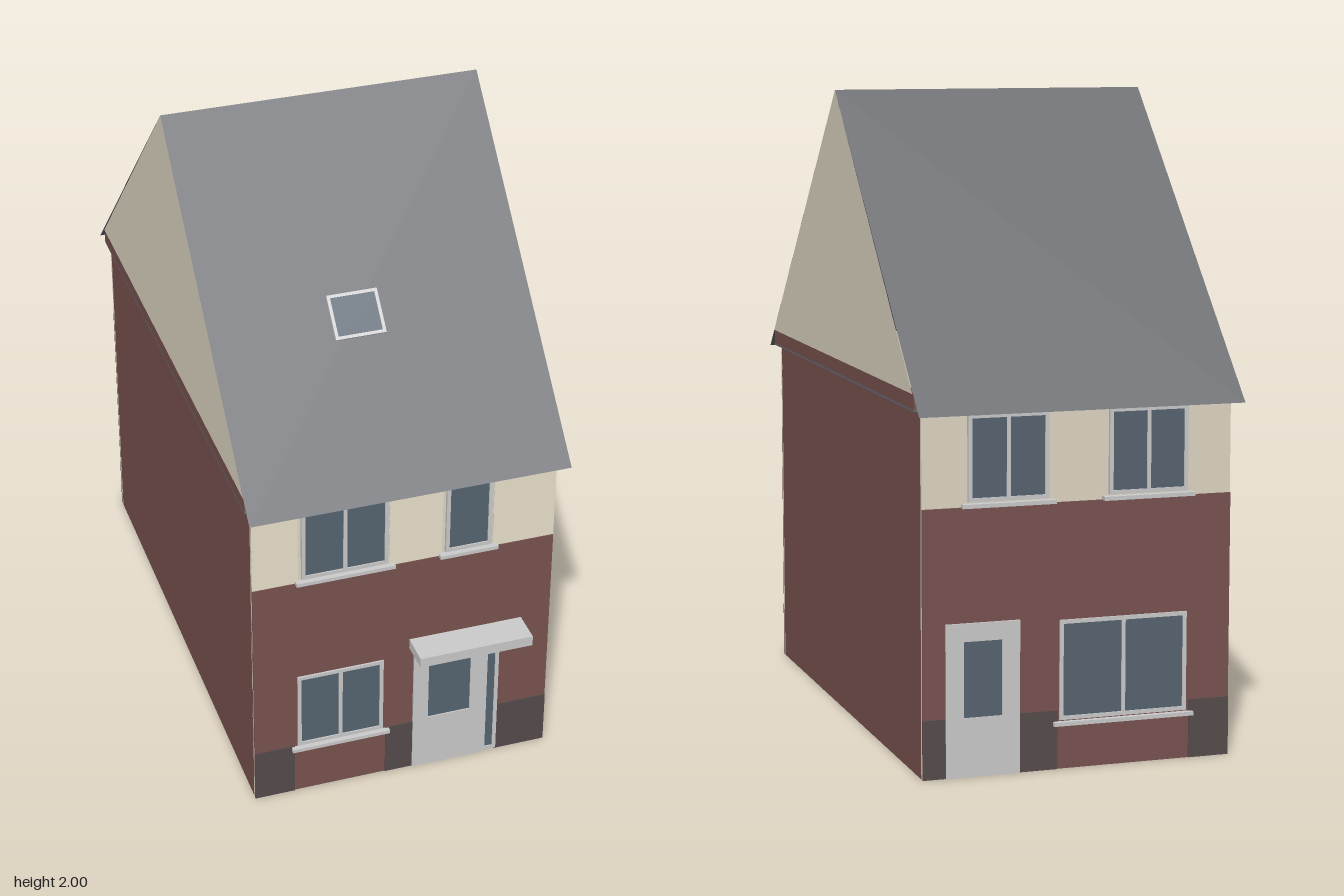
import * as THREE from 'three';

const mat = (color, side = THREE.FrontSide) => new THREE.MeshStandardMaterial({ color, side });
const BRICK = mat(0x7a5350), CREAM = mat(0xe0d8c4), PLINTH = mat(0x564c4c);
const GLASS = mat(0x566470), TRIM = mat(0xcccccc);
const ROOF = mat(0x6a6c70, THREE.DoubleSide), GABLE = mat(0xe0d8c4, THREE.DoubleSide);

const X0 = -0.49, X1 = 0.48;      // side walls
const FRONT = 0.82, BACK = -0.865; // outer faces of the cream walls
const RX0 = -0.51, RX1 = 0.505;   // roof ends
const RIDGE = [2, -0.02], EAVE_Y = 1.09, EAVE_F = 0.88, EAVE_B = -0.93;

export function createModel() {
  const house = new THREE.Group();
  house.name = 'house';

  function add(name, geometry, material, parent = house) {
    const mesh = new THREE.Mesh(geometry, material);
    mesh.name = name;
    parent.add(mesh);
    return mesh;
  }

  // box given by its limits
  function box(name, material, x0, x1, y0, y1, z0, z1, parent = house) {
    const mesh = add(name, new THREE.BoxGeometry(x1 - x0, y1 - y0, z1 - z0), material, parent);
    mesh.position.set((x0 + x1) / 2, (y0 + y1) / 2, (z0 + z1) / 2);
    return mesh;
  }

  // panel on the front (s = 1) or back (s = -1) wall, from depth d0 to d1 outward
  function panel(name, material, s, x0, x1, y0, y1, d0, d1, parent = house) {
    const a = s > 0 ? FRONT + d0 : BACK - d1;
    return box(name, material, x0, x1, y0, y1, a, a + d1 - d0, parent);
  }

  const rect = (T, x0, x1, y0, y1) => new T([[x0, y0], [x1, y0], [x1, y1], [x0, y1]]
    .map(([x, y]) => new THREE.Vector2(x, y)));

  // flat frame with openings listed as [x0, x1, y0, y1]
  function frame(outer, openings, depth) {
    const shape = rect(THREE.Shape, ...outer);
    shape.holes = openings.map(o => rect(THREE.Path, ...o));
    return new THREE.ExtrudeGeometry(shape, { depth, bevelEnabled: false });
  }

  // framed window with equal panes and an optional sill
  function windowUnit(name, s, x0, x1, y0, y1, panes, sill = true) {
    const g = new THREE.Group();
    g.name = name;
    house.add(g);
    const b = 0.012, w = (x1 - x0 - b) / panes;
    const holes = Array.from({ length: panes }, (_, i) =>
      [x0 + b + i * w, x0 + (i + 1) * w, y0 + b, y1 - b]);
    const f = add('windowFrame', frame([x0, x1, y0, y1], holes, 0.012), TRIM, g);
    f.position.z = s > 0 ? FRONT : BACK - 0.012;
    panel('windowGlass', GLASS, s, x0 + 0.005, x1 - 0.005, y0 + 0.005, y1 - 0.005, 0, 0.008, g);
    if (sill) panel('windowSill', TRIM, s, x0 - 0.02, x1 + 0.02, y0 - 0.016, y0 - 0.004, 0, 0.024, g);
  }

  function door(name, s, x0, x1, top, glass) {
    const g = new THREE.Group();
    g.name = name;
    house.add(g);
    const leaf = add('doorLeaf', frame([x0, x1, 0, top], [glass], 0.013), TRIM, g);
    leaf.position.z = s > 0 ? FRONT : BACK - 0.013;
    const [a, b, c, d] = glass;
    panel('doorGlass', GLASS, s, a, b, c, d, 0, 0.009, g);
  }

  // side walls with a projecting brick course under each gable
  box('rightWall', BRICK, X0, X0 + 0.01, 0, 1.15, BACK, FRONT);
  box('leftWall', BRICK, X1 - 0.01, X1, 0, 1.15, BACK, FRONT);
  box('rightGableCourse', BRICK, RX0 + 0.002, X0, 1.105, 1.15, BACK, FRONT);
  box('leftGableCourse', BRICK, X1, RX1 - 0.002, 1.105, 1.15, BACK, FRONT);
  for (const [x0, x1] of [[RX0 + 0.002, X0], [X1, RX1 - 0.002]])
    box('gableSoffit', ROOF, x0, x1, 1.098, 1.105, BACK, FRONT);

  // front and back walls: cream wall, brick lower facing, dark plinth pieces
  const plinths = { 1: [[X0, -0.36], [-0.06, 0.03], [0.31, X1]], '-1': [[X0, -0.36], [0.06, 0.18], [0.41, X1]] };
  for (const s of [1, -1]) {
    panel('upperWall', CREAM, s, X0, X1, 0, 1.13, -0.01, 0.001);
    panel('brickFacing', BRICK, s, X0, X1, 0, 0.81, 0.001, 0.006);
    for (const [a, b] of plinths[s]) panel('plinth', PLINTH, s, a, b, 0, 0.18, 0.004, 0.009);
  }

  // lapped boards between the upper front windows, each tilted out at its foot
  for (const [a, b] of [[X0, -0.345], [-0.055, 0.115], [0.28, X1]])
    for (let i = 0; i < 8; i++) {
      const y = 0.812 + i * 0.036;
      const board = panel('claddingBoard', CREAM, 1, a, b, y, y + 0.036, 0, 0.004);
      board.rotation.x = -0.12;
    }

  // front openings
  windowUnit('upperFrontWideWindow', 1, -0.335, -0.06, 0.825, 1.085, 2);
  windowUnit('upperFrontNarrowWindow', 1, 0.125, 0.273, 0.825, 1.085, 1);
  windowUnit('lowerFrontWindow', 1, -0.35, -0.07, 0.182, 0.452, 2);
  door('frontDoor', 1, 0.03, 0.27, 0.478, [0.08, 0.22, 0.19, 0.43]);
  windowUnit('doorSidelight', 1, 0.265, 0.315, 0.005, 0.44, 1, false);
  box('doorCanopy', TRIM, 0.015, 0.385, 0.478, 0.512, FRONT, 0.93);

  // back openings
  windowUnit('upperBackWindow', -1, 0.09, 0.34, 0.825, 1.085, 2);
  windowUnit('upperBackWindow', -1, -0.35, -0.10, 0.825, 1.085, 2);
  windowUnit('lowerBackWindow', -1, -0.35, 0.055, 0.15, 0.455, 2);
  door('backDoor', -1, 0.18, 0.41, 0.465, [0.235, 0.355, 0.18, 0.41]);

  // thin roof slopes
  for (const [name, ez] of [['frontRoofSlope', EAVE_F], ['backRoofSlope', EAVE_B]]) {
    const [ry, rz] = RIDGE;
    const g = new THREE.BufferGeometry();
    g.setAttribute('position', new THREE.Float32BufferAttribute([
      RX0, EAVE_Y, ez, RX1, EAVE_Y, ez, RX1, ry, rz, RX0, ry, rz], 3));
    g.setIndex(ez > 0 ? [0, 1, 2, 0, 2, 3] : [0, 2, 1, 0, 3, 2]);
    g.computeVertexNormals();
    add(name, g, ROOF);
  }

  // gable triangles closing the roof ends
  const tri = new THREE.Shape([[-0.82, 1.15], [0.86, 1.15], [0.02, 2]].map(p => new THREE.Vector2(...p)));
  for (const [name, x] of [['rightGable', RX0], ['leftGable', RX1]]) {
    const geo = new THREE.ShapeGeometry(tri).rotateY(Math.PI / 2);
    if (x < 0) { // flip so the face looks outward
      geo.setIndex(Array.from(geo.index.array).reverse());
      geo.computeVertexNormals();
    }
    add(name, geo, GABLE).position.x = x;
  }

  // skylight lying on the front slope
  const skylight = new THREE.Group();
  skylight.name = 'skylight';
  skylight.position.set(-0.05, 1.5, 0.475);
  skylight.rotation.x = -Math.atan2(EAVE_F - RIDGE[1], RIDGE[0] - EAVE_Y);
  house.add(skylight);
  add('skylightFrame', frame([-0.08, 0.08, -0.07, 0.07], [[-0.07, 0.07, -0.06, 0.06]], 0.008), TRIM, skylight);
  box('skylightGlass', GLASS, -0.072, 0.072, -0.062, 0.062, -0.002, 0.005, skylight);

  return house;
}
